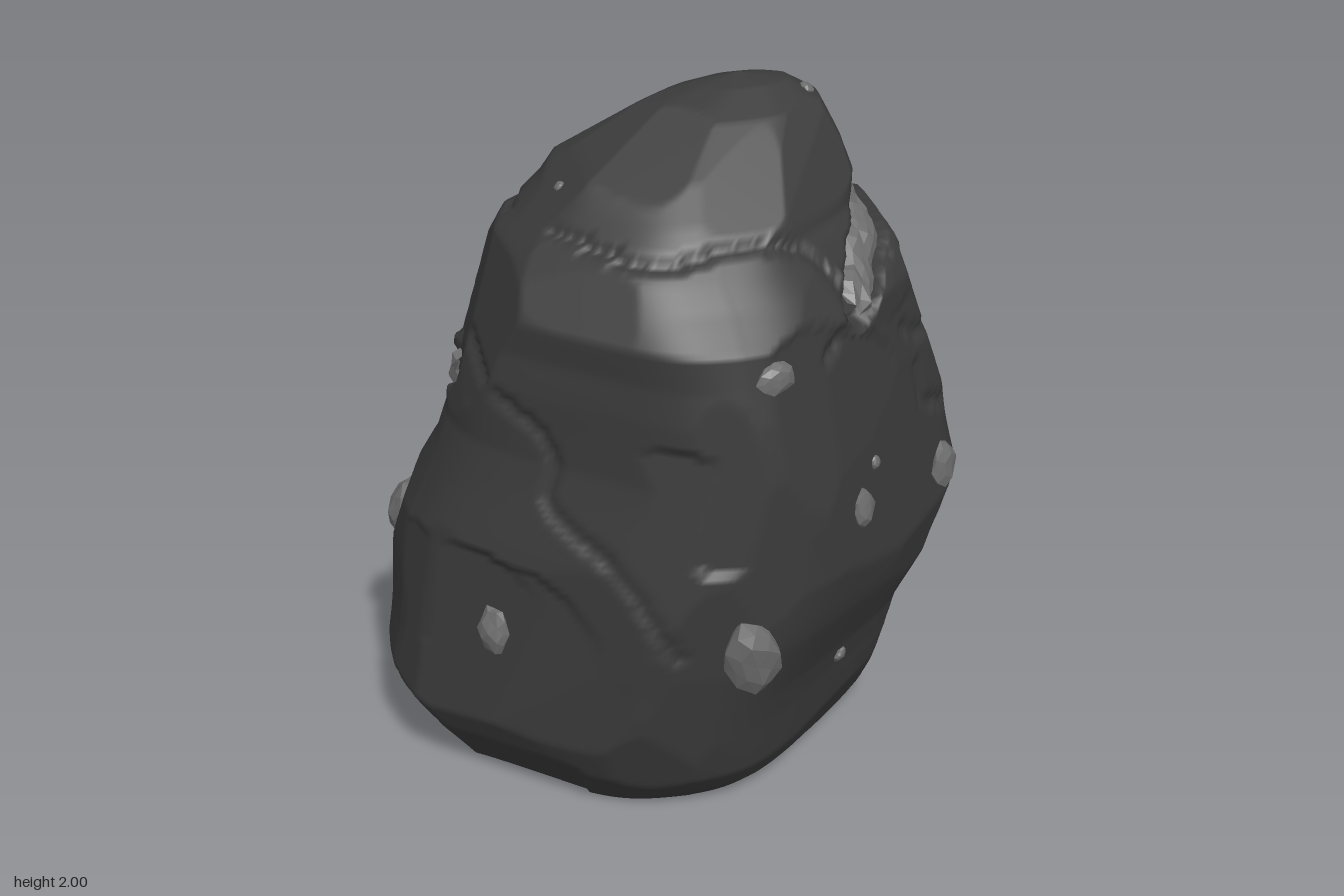
import * as THREE from 'three';

const V = (x, y, z) => new THREE.Vector3(x, y, z);
const stone = new THREE.MeshStandardMaterial({ color: 0x3a3a3a });
stone.name = 'dark stone';
const ore = new THREE.MeshStandardMaterial({ color: 0x6c6c6c, flatShading: true, side: THREE.DoubleSide });
ore.name = 'grey ore';

let seed = 11;
const rand = () => (seed = (seed * 16807) % 2147483647) / 2147483647;

// Outline by height: y, min x, max x, min z, max z
const LEVELS = [
  [0, -0.07, -0.07, -0.05, -0.05],
  [0, -0.67, 0.53, -0.55, 0.45],
  [0.05, -0.7, 0.58, -0.61, 0.5],
  [0.14, -0.76, 0.62, -0.64, 0.57],
  [0.28, -0.845, 0.66, -0.65, 0.615],
  [0.4, -0.83, 0.68, -0.66, 0.64],
  [0.6, -0.81, 0.775, -0.68, 0.67],
  [0.78, -0.785, 0.845, -0.7, 0.68],
  [0.95, -0.715, 0.81, -0.7, 0.675],
  [1.1, -0.655, 0.78, -0.655, 0.655],
  [1.3, -0.63, 0.715, -0.59, 0.625],
  [1.5, -0.58, 0.655, -0.5, 0.585],
  [1.58, -0.555, 0.615, -0.455, 0.49],
  [1.64, -0.51, 0.54, -0.43, 0.425],
  [1.68, -0.45, 0.495, -0.41, 0.38],
  [1.75, -0.37, 0.5, -0.375, 0.31],
  [1.83, -0.31, 0.47, -0.32, 0.21],
  [1.93, -0.12, 0.42, -0.24, 0.06],
  [1.98, 0.08, 0.34, -0.17, -0.05],
  [2, 0.2, 0.2, -0.12, -0.12],
];
// Corner fullness by height, 1 for a diamond and 2 for a box:
// y, front left, front right, back right, back left
const CORNERS = [
  [0, 1.23, 1.32, 1.47, 1.36],
  [0.3, 1.21, 1.27, 1.49, 1.38],
  [0.65, 1.23, 1.24, 1.49, 1.45],
  [1.0, 1.23, 1.23, 1.22, 1.53],
  [1.4, 1.23, 1.23, 1.32, 1.58],
  [1.65, 1.31, 1.37, 1.37, 1.48],
  [2, 1.41, 1.41, 1.41, 1.41],
];
const COLS = 260;

function fullness(y, column) {
  const k = Math.min(CORNERS.length - 2, CORNERS.filter((c) => c[0] <= y).length - 1);
  const a = CORNERS[k], b = CORNERS[k + 1];
  return a[column] + (b[column] - a[column]) * (y - a[0]) / (b[0] - a[0]);
}

// Closed skin of stacked rings, each a box with softly chamfered corners
function rockSkin() {
  const rows = [];
  for (let k = 0; k < LEVELS.length - 1; k++) {
    const a = LEVELS[k], b = LEVELS[k + 1];
    const len = Math.max(...a.map((v, i) => Math.abs(v - b[i])));
    const n = k === 0 ? 8 : Math.max(2, Math.ceil(len / 0.016));
    for (let s = 0; s < n; s++) rows.push(a.map((v, i) => v + (b[i] - v) * s / n));
  }
  rows.push(LEVELS[LEVELS.length - 1]);
  const pos = [], index = [];
  rows.forEach(([y, xn, xp, zn, zp], r) => {
    for (let c = 0; c < COLS; c++) {
      const t = c / COLS * Math.PI * 2, cs = Math.cos(t), sn = Math.sin(t);
      const m = fullness(y, 1 + Math.floor(c * 4 / COLS));
      const ax = Math.abs(cs), az = Math.abs(sn), n = 13;
      const q = Math.pow(ax ** n + az ** n + ((ax + az) / m) ** n, -1 / n);
      const x = (xn + xp) / 2 + cs * q * (xp - xn) / 2;
      const z = (zn + zp) / 2 + sn * q * (zp - zn) / 2;
      const bump = 1 + 0.006 * (Math.sin(7 * x + 5 * y) + Math.sin(8 * z - 6 * y + 2) + Math.sin(11 * y + 6 * x * z));
      pos.push(x * bump, y, z * bump);
      if (r < rows.length - 1) {
        const d = (c + 1) % COLS, a = r * COLS, b = a + COLS;
        index.push(a + c, b + c, a + d, a + d, b + c, b + d);
      }
    }
  });
  const geo = new THREE.BufferGeometry();
  geo.setAttribute('position', new THREE.Float32BufferAttribute(pos, 3));
  geo.setIndex(index);
  geo.computeVertexNormals();
  return geo;
}

// Reads the skin into vectors
function readSkin(geo) {
  const { position, normal } = geo.attributes, pts = [], nrm = [];
  for (let i = 0; i < position.count; i++) {
    pts.push(V().fromBufferAttribute(position, i));
    nrm.push(V().fromBufferAttribute(normal, i));
  }
  return { pts, nrm };
}

function writeSkin(geo, pts) {
  pts.forEach((p, i) => geo.attributes.position.setXYZ(i, p.x, Math.max(0, p.y), p.z));
  geo.computeVertexNormals();
}

// Cuts flat facets where the skin bulges, leaving hollows alone
function chisel(geo) {
  const { pts, nrm } = readSkin(geo), d = V();
  for (let k = 0; k < 220; k++) {
    const i = Math.floor(rand() * pts.length), n = nrm[i], c = pts[i].clone();
    const depth = 0.005 + 0.01 * rand();
    if (n.y < -0.6 || c.y > 1.9 || c.y < 0.03) continue;
    const cut = [];
    let deepest = 0;
    pts.forEach((p, j) => {
      d.subVectors(p, c);
      if (d.lengthSq() > 0.09) return;
      const over = d.dot(n) + depth;
      if (over > 0) cut.push([j, over]);
      deepest = Math.max(deepest, over);
    });
    if (deepest < depth + 0.012) cut.forEach(([j, over]) => pts[j].addScaledVector(n, -over));
  }
  writeSkin(geo, pts);
}

// Ore seams: half width, then points to be laid on the skin
const SEAMS = [
  [0.045, [[0.4, 1.47, 0.35], [0.46, 1.57, 0.24], [0.5, 1.62, 0.1], [0.51, 1.63, -0.1], [0.49, 1.56, -0.29],
    [0.44, 1.44, -0.42], [0.38, 1.3, -0.51], [0.29, 1.12, -0.6], [0.16, 0.97, -0.68], [-0.1, 0.89, -0.7], [-0.35, 0.85, -0.63]]],
  [0.034, [[0.47, 1.22, -0.52], [0.54, 1.13, -0.5], [0.61, 0.98, -0.44], [0.66, 0.82, -0.36], [0.7, 0.66, -0.26], [0.72, 0.53, -0.18]]],
  [0.044, [[-0.32, 0.86, -0.64], [-0.46, 0.98, -0.48], [-0.55, 1.12, -0.28], [-0.61, 1.22, -0.06]]],
  [0.055, [[-0.33, 0.87, -0.63], [-0.34, 0.6, -0.64], [-0.23, 0.36, -0.65], [-0.06, 0.12, -0.63]]],
  [0.04, [[0.47, 1.37, -0.45], [0.44, 1.22, -0.53], [0.36, 1.08, -0.6]]],
];

// Thin cracks; null means the value is found on the front or right skin
const CRACKS = [
  [[-0.6, 1.35, null], [-0.43, 1.15, null], [-0.45, 1.0, null], [-0.3, 0.85, null], [-0.15, 0.62, null]],
  [[-0.38, 1.7, null], [-0.15, 1.68, null], [0.08, 1.7, null], [0.28, 1.65, null], [0.4, 1.5, null], [0.3, 1.4, null]],
  [[null, 1.35, 0.25], [null, 1.3, 0.18], [null, 1.31, 0]],
  [[null, 1.2, 0.22], [null, 1.08, 0.2], [null, 1.02, 0.1]],
  [[null, 0.54, -0.18], [null, 0.38, -0.04], [null, 0.1, -0.06]],
  [[null, 0.66, -0.35], [null, 0.62, -0.6]],
  [[0.3, 1.55, -0.46], [0, 1.58, -0.45], [-0.25, 1.62, -0.4], [-0.45, 1.66, -0.1]],
];

// Pebbles: x, y, z, half width, half height
const PEBBLES = [
  [0.13, 1.42, null, 0.06, 0.045], [0.05, 0.6, null, 0.08, 0.13], [0.41, 0.93, null, 0.045, 0.06],
  [0.46, 1.04, null, 0.02, 0.022], [-0.6, 0.56, null, 0.05, 0.075], [0.4, 0.35, null, 0.025, 0.025],
  [-0.33, 1.77, null, 0.016, 0.016], [null, 0.84, 0.16, 0.06, 0.07], [null, 1.18, -0.2, 0.06, 0.065],
  [null, 1.27, -0.25, 0.022, 0.025], [null, 0.78, -0.2, 0.035, 0.045], [null, 0.47, -0.38, 0.075, 0.085],
  [null, 1.95, -0.08, 0.022, 0.022], [0.2, 1.78, -0.36, 0.075, 0.055], [0.12, 1.72, -0.39, 0.03, 0.028],
  [0.06, 1.27, -0.59, 0.055, 0.055], [-0.26, 1.13, -0.58, 0.035, 0.035], [-0.75, 0.64, -0.32, 0.07, 0.085],
  [-0.56, 0.58, -0.56, 0.06, 0.045], [-0.56, 0.78, -0.49, 0.025, 0.022], [0.13, 0.45, -0.65, 0.035, 0.04],
];

export function createModel() {
  const group = new THREE.Group();
  const add = (name, geo, mat) => {
    const mesh = new THREE.Mesh(geo, mat);
    mesh.name = name;
    group.add(mesh);
    return mesh;
  };
  const rock = rockSkin();
  chisel(rock);
  const { pts, nrm } = readSkin(rock);

  // Finds the skin point and smoothed normal closest to a given place
  const snap = ([x, y, z]) => {
    let best = 0, least = Infinity;
    pts.forEach((p, i) => {
      if ((x === null && p.x < 0) || (z === null && p.z < 0)) return;
      const e = (x === null ? 0 : (p.x - x) ** 2) + (p.y - y) ** 2 + (z === null ? 0 : (p.z - z) ** 2);
      if (e < least) { least = e; best = i; }
    });
    const point = V(), normal = V();
    let sum = 0;
    pts.forEach((p, i) => {
      const d = p.distanceToSquared(pts[best]);
      if (d > 0.003) return;
      const w = Math.exp(-d / 0.0006);
      point.addScaledVector(p, w);
      normal.addScaledVector(nrm[i], w);
      sum += w;
    });
    return { point: point.divideScalar(sum), normal: normal.normalize() };
  };
  const trace = (path, step) => {
    const curve = new THREE.CatmullRomCurve3(path.map((p) => snap(p).point));
    return curve.getSpacedPoints(Math.ceil(curve.getLength() / step)).map((p) => snap(p.toArray()));
  };
  const seams = SEAMS.map(([w, path]) => ({ w, line: trace(path, 0.035) }));
  const cracks = CRACKS.map((path) => trace(path, 0.014));

  // Grooves under the seams and along the cracks
  const carved = pts.map((p, i) => {
    let depth = 0;
    for (const { w, line } of seams) for (const s of line) {
      const d = p.distanceTo(s.point);
      if (d < w + 0.02) depth = Math.max(depth, 0.05 * Math.min(1, (w + 0.02 - d) / 0.02));
    }
    for (const line of cracks) for (const s of line) {
      const d = p.distanceTo(s.point);
      if (d < 0.03) depth = Math.max(depth, 0.016 * (1 - d / 0.03));
    }
    return p.clone().addScaledVector(nrm[i], -depth);
  });
  writeSkin(rock, carved);
  add('rock', rock, stone);

  // Rough ribbon of ore filling each groove
  seams.forEach(({ w, line }, k) => {
    const pos = [], index = [], N = 5;
    line.forEach(({ point, normal }, i) => {
      const along = line[Math.min(i + 1, line.length - 1)].point.clone().sub(line[Math.max(i - 1, 0)].point);
      const side = along.cross(normal).normalize();
      const taper = i === line.length - 1 || i === 0 ? 0.5 : 1;
      for (let j = 0; j < N; j++) {
        const s = j / (N - 1) * 2 - 1, edge = Math.abs(s) === 1;
        const v = point.clone().addScaledVector(side, s * (w + 0.012) * taper * (0.9 + 0.25 * rand()));
        v.addScaledVector(normal, edge ? -0.028 : -0.016 + 0.016 * rand());
        pos.push(v.x, v.y, v.z);
        if (i < line.length - 1 && j < N - 1) {
          const a = i * N + j, b = a + N;
          index.push(a, a + 1, b, a + 1, b + 1, b);
        }
      }
    });
    const geo = new THREE.BufferGeometry();
    geo.setAttribute('position', new THREE.Float32BufferAttribute(pos, 3));
    geo.setIndex(index);
    geo.computeVertexNormals();
    add('oreSeam' + (k + 1), geo, ore);
  });

  // Faceted pebbles half sunk in the skin
  PEBBLES.forEach(([x, y, z, w, h], k) => {
    const geo = new THREE.IcosahedronGeometry(1, 1), p = geo.attributes.position;
    for (let i = 0; i < p.count; i++) {
      const v = V().fromBufferAttribute(p, i);
      v.multiplyScalar(1 + 0.1 * Math.sin(5 * v.x + 7 * v.y + 4 * v.z + k));
      p.setXYZ(i, v.x, v.y, v.z);
    }
    geo.computeVertexNormals();
    const { point, normal } = snap([x, y, z]);
    const mesh = add('pebble' + (k + 1), geo, ore);
    mesh.position.copy(point);
    mesh.lookAt(point.clone().add(normal));
    mesh.rotateZ(k === 1 ? 0.3 : 0);
    mesh.scale.set(w, h, Math.min(w, h) * 0.6);
  });
  return group;
}
